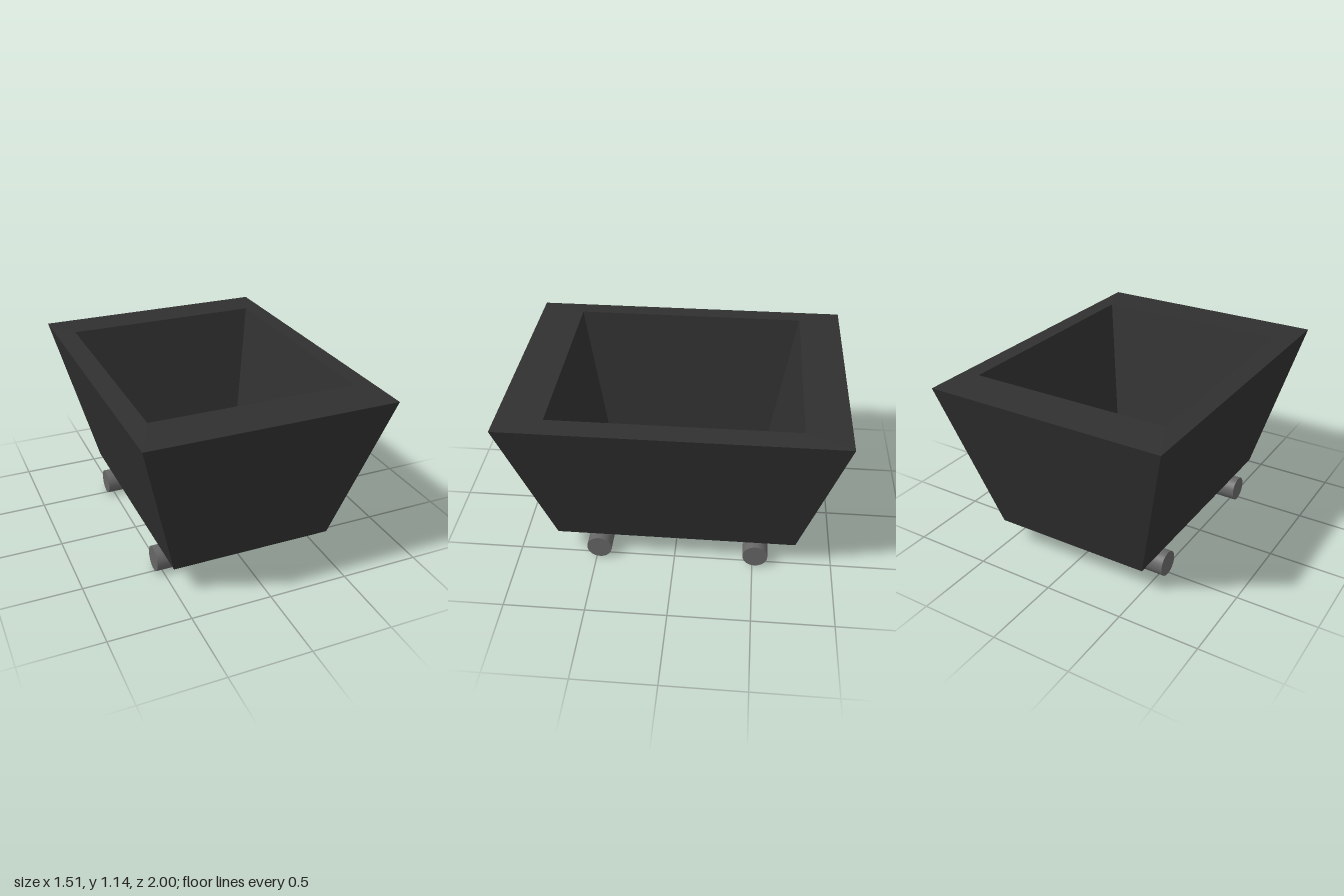
import * as THREE from 'three';

// Joins rectangular rings (y, half width, back z, front z) into a closed flat-shaded skin.
function ringSkin(rings) {
  const corners = rings.map(([y, w, back, front]) => [
    [-w, y, front], [w, y, front], [w, y, back], [-w, y, back],
  ]);
  const pos = [];
  const quad = (a, b, c, d) => pos.push(...a, ...b, ...c, ...a, ...c, ...d);
  for (let r = 0; r < corners.length - 1; r++) {
    const lo = corners[r], hi = corners[r + 1];
    for (let i = 0; i < 4; i++) {
      const j = (i + 1) % 4;
      quad(lo[i], lo[j], hi[j], hi[i]);
    }
  }
  const first = corners[0], last = corners[corners.length - 1];
  quad(first[3], first[2], first[1], first[0]); // underside
  quad(last[0], last[1], last[2], last[3]); // inner floor
  const geo = new THREE.BufferGeometry();
  geo.setAttribute('position', new THREE.Float32BufferAttribute(pos, 3));
  geo.computeVertexNormals();
  return geo;
}

export function createModel() {
  const model = new THREE.Group();
  model.name = 'mineCart';
  const bodyMat = new THREE.MeshStandardMaterial({ color: 0x303030 });
  const axleMat = new THREE.MeshStandardMaterial({ color: 0x666666 });

  // Tapered tub: outer base, outer rim, inner rim, inner floor
  const tub = new THREE.Mesh(ringSkin([
    [0.168, 0.508, -0.763, 0.745],
    [1.126, 0.754, -1, 1],
    [1.136, 0.63, -0.737, 0.72],
    [0.25, 0.487, -0.575, 0.56],
  ]), bodyMat);
  tub.name = 'tub';
  model.add(tub);

  // Two rollers under the tub
  const axleGeo = new THREE.CylinderGeometry(0.079, 0.079, 1.085, 32).rotateZ(Math.PI / 2);
  for (const [name, z] of [['frontAxle', 0.48], ['backAxle', -0.515]]) {
    const axle = new THREE.Mesh(axleGeo, axleMat);
    axle.name = name;
    axle.position.set(-0.002, 0.079, z);
    model.add(axle);
  }
  return model;
}
